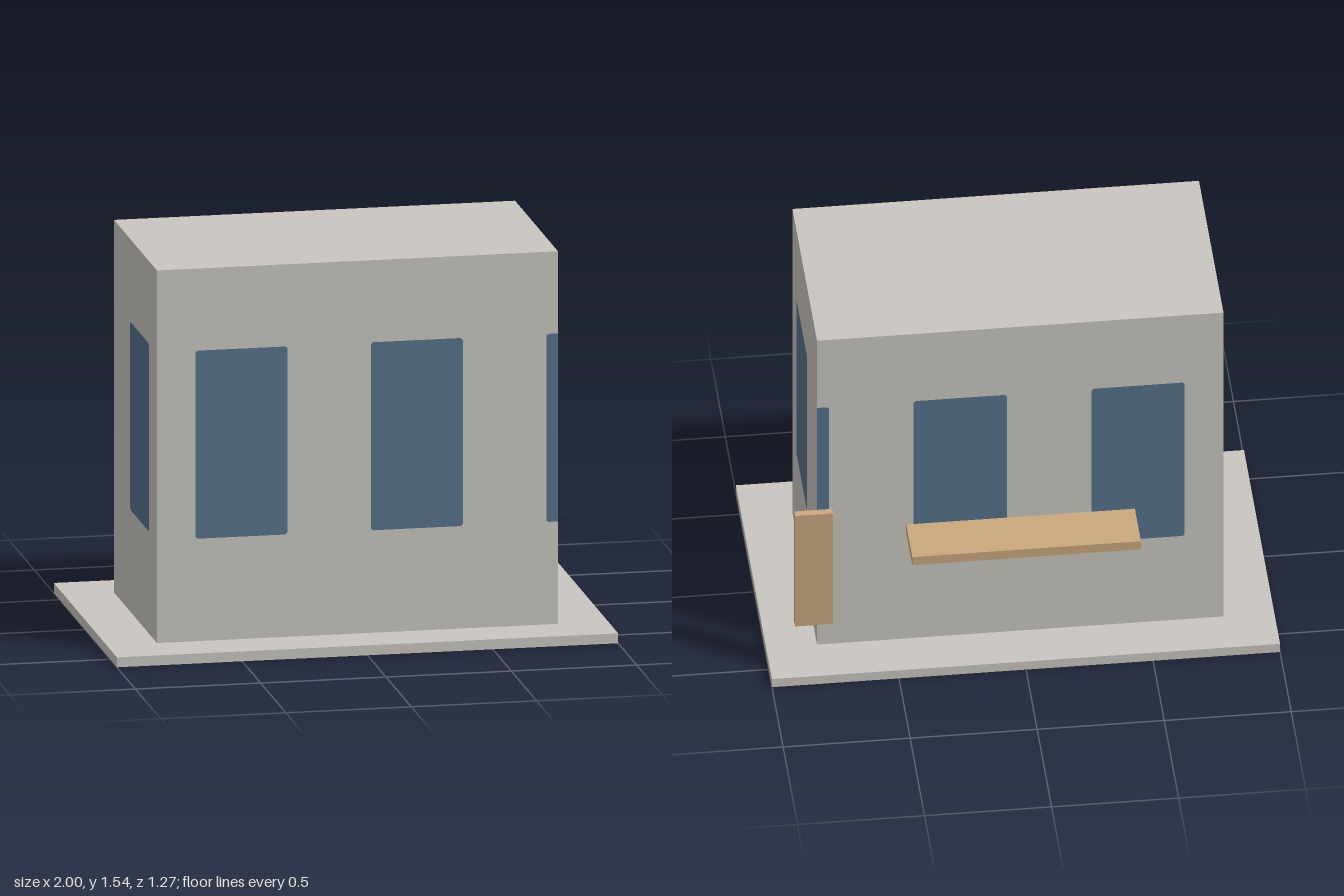
import * as THREE from 'three';

export function createModel() {
  const group = new THREE.Group();
  const wall = new THREE.MeshStandardMaterial({ color: 0xc9c6c0 });
  wall.name = 'concrete';
  const wood = new THREE.MeshStandardMaterial({ color: 0xc9a87c });
  wood.name = 'wood';
  const glass = new THREE.MeshStandardMaterial({ color: 0x56728a });
  glass.name = 'windowBlue';

  // Axis-aligned box given by its extents
  function box(name, material, [x0, x1], [y0, y1], [z0, z1]) {
    const mesh = new THREE.Mesh(new THREE.BoxGeometry(x1 - x0, y1 - y0, z1 - z0), material);
    mesh.position.set((x0 + x1) / 2, (y0 + y1) / 2, (z0 + z1) / 2);
    mesh.name = name;
    group.add(mesh);
  }

  box('basePlate', wall, [-1, 1], [0, 0.04], [-0.615, 0.635]);
  box('building', wall, [-0.8, 0.8], [0.04, 1.54], [-0.415, 0.435]);
  box('shelf', wood, [-0.45, 0.45], [0.57, 0.61], [-0.635, -0.425]);
  box('signBoard', wood, [0.75, 0.9], [0.23, 0.775], [-0.535, -0.505]);

  // Window pane outline with tiny clipped corners; a cut edge stays square
  function pane(a0, a1, cutStart = false, cutEnd = false) {
    const y0 = 0.453, y1 = 1.21, c = 0.008;
    const l = cutStart ? 0 : c, r = cutEnd ? 0 : c;
    const points = [
      [a0 + l, y0], [a1 - r, y0], [a1, y0 + r], [a1, y1 - r],
      [a1 - r, y1], [a0 + l, y1], [a0, y1 - l], [a0, y0 + l],
    ].map(([a, y]) => new THREE.Vector2(a, y));
    return new THREE.ShapeGeometry(new THREE.Shape(points));
  }

  function addWindow(name, geometry, x, z, turn) {
    const mesh = new THREE.Mesh(geometry, glass);
    mesh.position.set(x, 0, z);
    mesh.rotation.y = turn;
    mesh.name = name;
    group.add(mesh);
  }

  // Front and back: two full windows and one cut off by the wall's edge
  const gap = 0.002;
  [[-0.647, -0.28], [0.053, 0.42], [0.753, 0.8]].forEach(([a, b], i) => {
    const cut = b === 0.8;
    addWindow(`frontWindow${i + 1}`, pane(a, b, false, cut), 0, 0.435 + gap, 0);
    addWindow(`backWindow${i + 1}`, pane(-b, -a, cut, false), 0, -0.415 - gap, Math.PI);
  });

  // One window on each side wall
  addWindow('leftWindow', pane(-0.285, 0.085), 0.8 + gap, 0, Math.PI / 2);
  addWindow('rightWindow', pane(-0.085, 0.285), -0.8 - gap, 0, -Math.PI / 2);

  return group;
}
